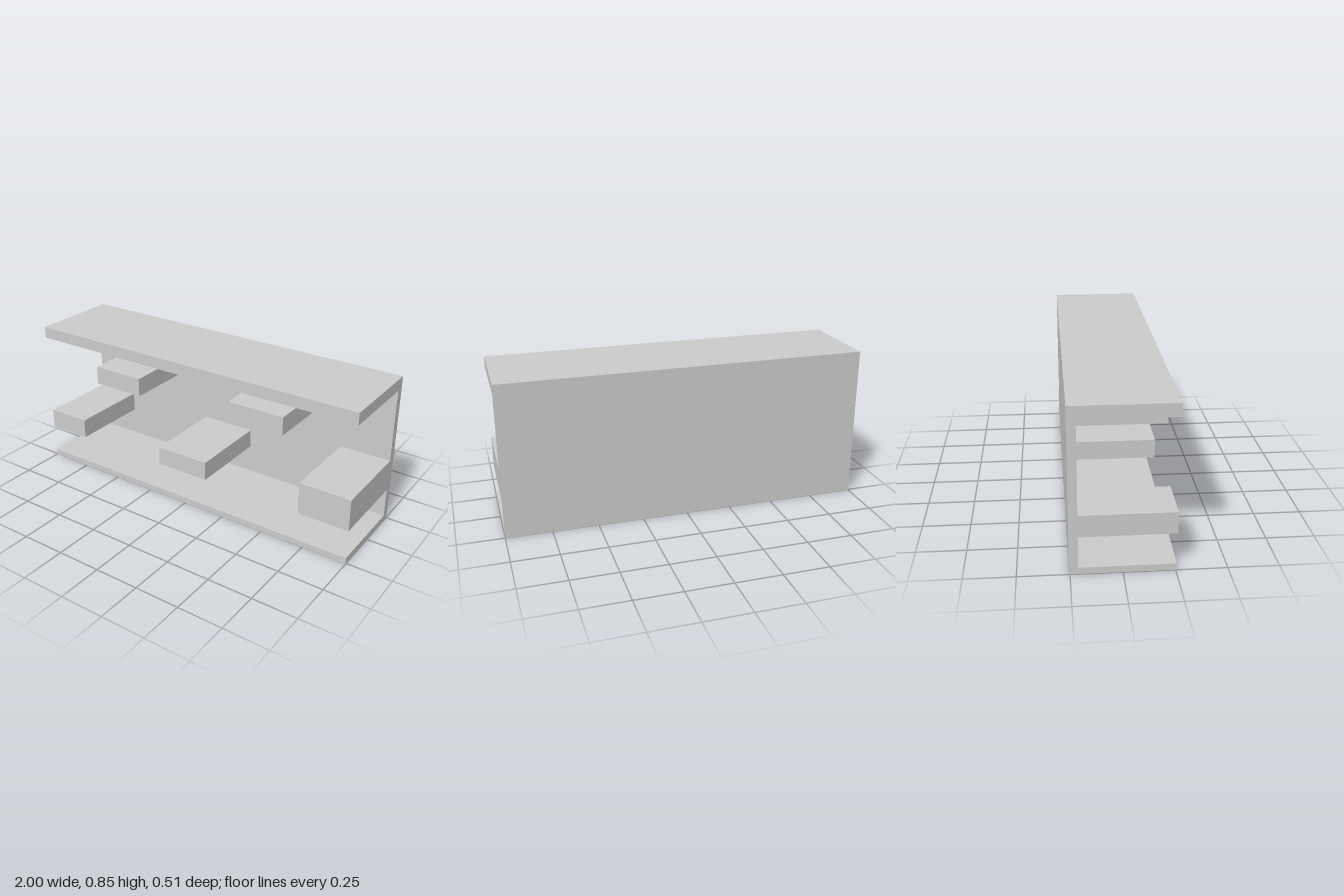
import * as THREE from 'three';

const FRONT = 0.255, BACK = -0.255, WALL = -0.211;
const HEIGHT = 0.848, FLOOR = 0.035, CEILING = 0.783;

export function createModel() {
  const group = new THREE.Group();
  const material = new THREE.MeshStandardMaterial({ color: 0xcccccc, flatShading: true });

  // Box given by its limits on each axis
  const addBox = (name, [x0, x1], [y0, y1], [z0, z1]) => {
    const mesh = new THREE.Mesh(new THREE.BoxGeometry(x1 - x0, y1 - y0, z1 - z0), material);
    mesh.position.set((x0 + x1) / 2, (y0 + y1) / 2, (z0 + z1) / 2);
    mesh.name = name;
    group.add(mesh);
  };

  // C-shaped shell: floor, ceiling and back wall extruded along x
  const profile = new THREE.Shape([
    [FRONT, 0], [FRONT, FLOOR], [WALL, FLOOR], [WALL, CEILING],
    [FRONT, CEILING], [FRONT, HEIGHT], [BACK, HEIGHT], [BACK, 0],
  ].map(([z, y]) => new THREE.Vector2(-z, y)));
  const shellGeometry = new THREE.ExtrudeGeometry(profile, { depth: 2, bevelEnabled: false });
  shellGeometry.translate(0, 0, -1).rotateY(Math.PI / 2);
  const shell = new THREE.Mesh(shellGeometry, material);
  shell.name = 'shell';
  group.add(shell);

  // Platforms reaching forward from the back wall
  const platforms = [
    ['lowerRightPlatform', [-1, -0.742], [0.198, 0.31]],
    ['lowerMiddlePlatform', [-0.176, 0.139], [0.198, 0.305]],
    ['lowerLeftPlatform', [0.714, 1], [0.198, 0.377]],
    ['upperRightPlatform', [-0.609, -0.304], [0.587, 0.69]],
    ['upperLeftPlatform', [0.284, 0.605], [0.611, 0.713]],
  ];
  for (const [name, x, y] of platforms) addBox(name, x, y, [WALL, FRONT]);

  return group;
}
